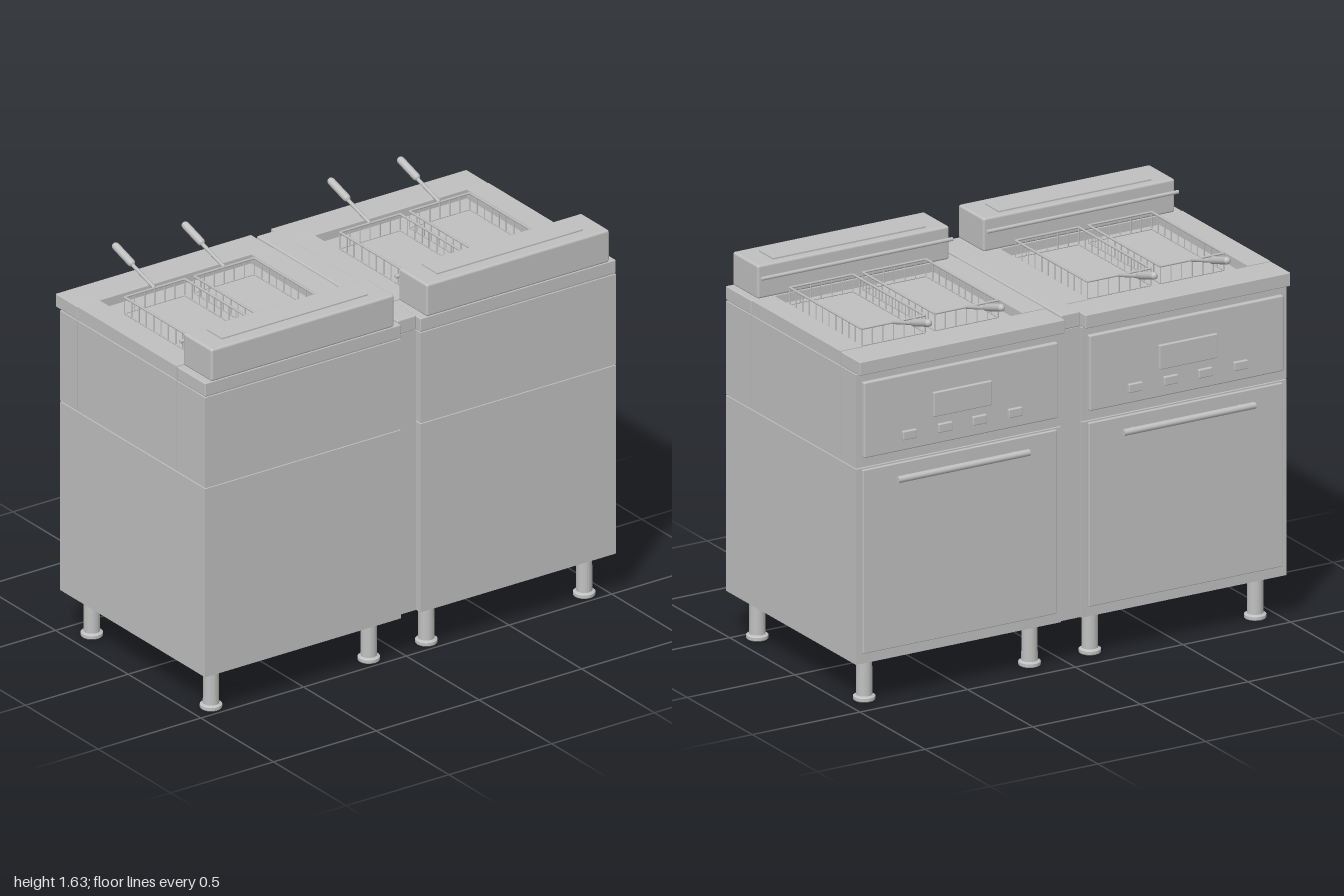
import * as THREE from 'three';
import { RoundedBoxGeometry } from 'three/addons/geometries/RoundedBoxGeometry.js';

const steel = new THREE.MeshStandardMaterial({ color: 0xc0c0c0 });
steel.name = 'steel';

function add(parent, name, geometry) {
  const mesh = new THREE.Mesh(geometry, steel);
  mesh.name = name;
  parent.add(mesh);
  return mesh;
}

// Box given by its limits on each axis; r rounds its edges
function box(parent, name, [x0, x1], [y0, y1], [z0, z1], r = 0) {
  const size = [x1 - x0, y1 - y0, z1 - z0];
  const geometry = r ? new RoundedBoxGeometry(...size, 3, r) : new THREE.BoxGeometry(...size);
  const mesh = add(parent, name, geometry);
  mesh.position.set((x0 + x1) / 2, (y0 + y1) / 2, (z0 + z1) / 2);
  return mesh;
}

// Round bar between two points
function rod(parent, name, a, b, r, sides = 8) {
  const from = new THREE.Vector3(...a), to = new THREE.Vector3(...b);
  const dir = to.clone().sub(from);
  const mesh = add(parent, name, new THREE.CylinderGeometry(r, r, dir.length(), sides));
  mesh.position.copy(from).add(to).multiplyScalar(0.5);
  mesh.quaternion.setFromUnitVectors(new THREE.Vector3(0, 1, 0), dir.normalize());
  return mesh;
}

function createBasket() {
  const basket = new THREE.Group();
  basket.name = 'basket';
  const x0 = -0.253, x1 = 0.3, w = 0.147, top = 1.515, low = 1.443;
  const corners = [[x0, -w], [x1, -w], [x1, w], [x0, w]];
  // Rim, lower ring and upright wires
  corners.forEach(([ax, az], i) => {
    const [bx, bz] = corners[(i + 1) % 4];
    rod(basket, 'rimWire', [ax, top, az], [bx, top, bz], 0.005, 6);
    rod(basket, 'bottomWire', [ax, low, az], [bx, low, bz], 0.003, 6);
    const n = i % 2 ? 6 : 11;
    for (let k = 0; k < n; k++) {
      const x = ax + (bx - ax) * k / n, z = az + (bz - az) * k / n;
      rod(basket, 'uprightWire', [x, low, z], [x, top, z], 0.003, 6);
    }
  });
  // Handle
  rod(basket, 'handleRod', [x0, top, 0], [-0.41, 1.56, 0], 0.008);
  const grip = add(basket, 'handleGrip', new THREE.CapsuleGeometry(0.016, 0.11, 4, 14));
  grip.position.set(-0.467, 1.58, 0);
  grip.rotation.z = Math.PI / 2 - 0.29;
  return basket;
}

function createFryer() {
  const fryer = new THREE.Group();
  fryer.name = 'fryer';
  const W = 0.476;
  const across = (w) => [-w, w];

  // Cabinet and door
  box(fryer, 'cabinet', [-0.47, 0.53], [0.19, 1.017], across(W));
  box(fryer, 'door', [-0.484, -0.47], [0.235, 1.013], across(0.45), 0.004);
  rod(fryer, 'doorHandle', [-0.507, 0.953, -0.305], [-0.507, 0.953, 0.305], 0.014, 16);
  for (const z of [-0.25, 0.25])
    rod(fryer, 'handleMount', [-0.48, 0.953, z], [-0.505, 0.953, z], 0.008);

  // Upper housing: three panels over a slightly inset core
  box(fryer, 'housingCore', [-0.46, 0.524], [1.01, 1.43], across(W - 0.006));
  for (const span of [[-0.47, -0.351], [-0.346, 0.332], [0.337, 0.53]])
    box(fryer, 'housingPanel', span, [1.022, 1.417], across(W));

  // Worktop around the sunken well
  box(fryer, 'worktopFront', [-0.5, -0.35], [1.422, 1.48], across(W), 0.004);
  box(fryer, 'worktopBack', [0.335, 0.53], [1.422, 1.48], across(W), 0.004);
  for (const s of [[-W, -0.37], [0.37, W]])
    box(fryer, 'worktopSide', [-0.347, 0.332], [1.422, 1.48], s);
  box(fryer, 'wellFloor', [-0.352, 0.337], [1.425, 1.44], across(0.372));

  // Control panel with display and buttons
  box(fryer, 'controlPanel', [-0.491, -0.468], [1.065, 1.385], across(0.45), 0.006);
  box(fryer, 'display', [-0.506, -0.49], [1.185, 1.288], across(0.135), 0.004);
  for (const z of [-0.245, -0.08, 0.08, 0.245])
    box(fryer, 'controlButton', [-0.506, -0.49], [1.113, 1.15], [z - 0.032, z + 0.032], 0.004);

  // Rear flue with its raised cover and basket rail
  box(fryer, 'flue', [0.335, 0.53], [1.478, 1.62], across(0.445), 0.01);
  box(fryer, 'flueCover', [0.367, 0.474], [1.618, 1.626], across(0.355));
  rod(fryer, 'basketRail', [0.312, 1.572, -0.445], [0.312, 1.572, 0.445], 0.008, 10);

  // Legs with flared feet
  const profile = [[0, 0], [0.042, 0], [0.045, 0.004], [0.045, 0.016], [0.033, 0.022], [0.032, 0.19]]
    .map(([r, y]) => new THREE.Vector2(r, y));
  const legShape = new THREE.LatheGeometry(profile, 24).toNonIndexed();
  legShape.computeVertexNormals();
  for (const x of [-0.38, 0.44])
    for (const z of [-0.384, 0.384])
      add(fryer, 'leg', legShape).position.set(x, 0, z);

  for (const z of [-0.171, 0.168]) {
    const basket = createBasket();
    basket.position.z = z;
    fryer.add(basket);
  }
  return fryer;
}

export function createModel() {
  const model = new THREE.Group();
  model.name = 'twinFryer';
  for (const z of [-0.524, 0.524]) {
    const fryer = createFryer();
    fryer.position.z = z;
    model.add(fryer);
  }
  // Filler strip joining the two units
  box(model, 'filler', [-0.46, 0.5], [0.19, 1.42], [-0.048, 0.048]);
  box(model, 'fillerCap', [-0.465, 0.505], [1.422, 1.487], [-0.046, 0.046], 0.006);
  return model;
}
